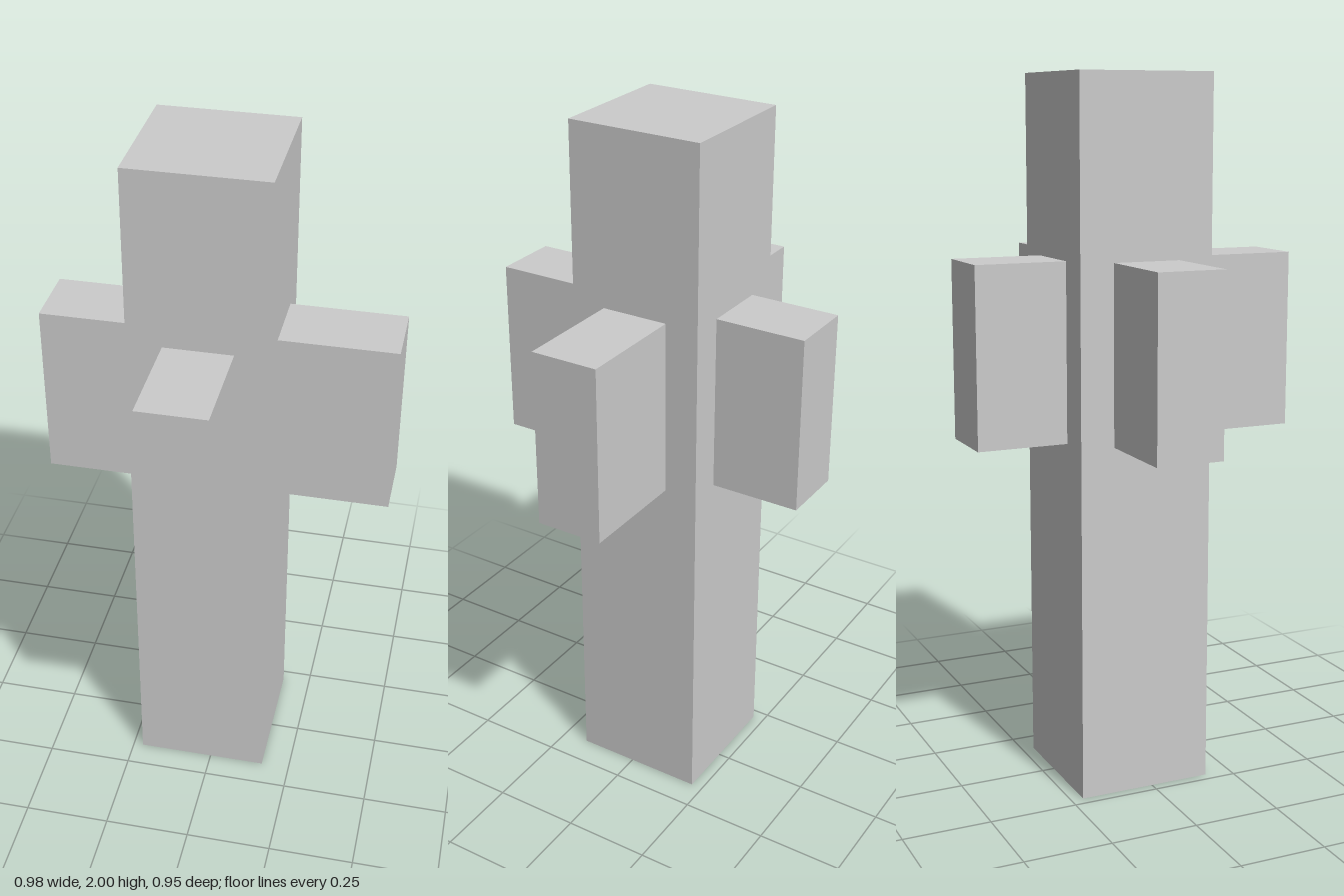
import * as THREE from 'three';

const material = new THREE.MeshStandardMaterial({ color: 0xcccccc, flatShading: true, side: THREE.DoubleSide });

// Face order of a box: +x, -x, +y, -y, +z, -z
const FACE = { right: 0, left: 1, top: 2, bottom: 3, front: 4, back: 5 };

// Box between two corners with one face left open
function openBox(name, [x0, y0, z0], [x1, y1, z1], open) {
  const geometry = new THREE.BoxGeometry(x1 - x0, y1 - y0, z1 - z0);
  const index = Array.from(geometry.index.array);
  index.splice(open * 6, 6);
  geometry.setIndex(index);
  geometry.clearGroups();
  geometry.translate((x0 + x1) / 2, (y0 + y1) / 2, (z0 + z1) / 2);
  const mesh = new THREE.Mesh(geometry, material);
  mesh.name = name;
  return mesh;
}

export function createModel() {
  const group = new THREE.Group();
  group.name = 'postWithArms';

  // Post footprint, arm width across it, and arm height range
  const px = [-0.221, 0.165], pz = [-0.215, 0.173];
  const ax = [-0.123, 0.069], az = [-0.118, 0.075];
  const low = 1.003, high = 1.503;

  // Tall hollow post, open underneath
  group.add(openBox('post', [px[0], 0, pz[0]], [px[1], 2, pz[1]], FACE.bottom));

  // Four arms, each open where it meets the post
  group.add(
    openBox('leftArm', [px[1], low, az[0]], [0.488, high, az[1]], FACE.left),
    openBox('rightArm', [-0.488, low, az[0]], [px[0], high, az[1]], FACE.right),
    openBox('frontArm', [ax[0], low, pz[1]], [ax[1], high, 0.473], FACE.back),
    openBox('backArm', [ax[0], low, -0.473], [ax[1], high, pz[0]], FACE.front),
  );
  return group;
}
